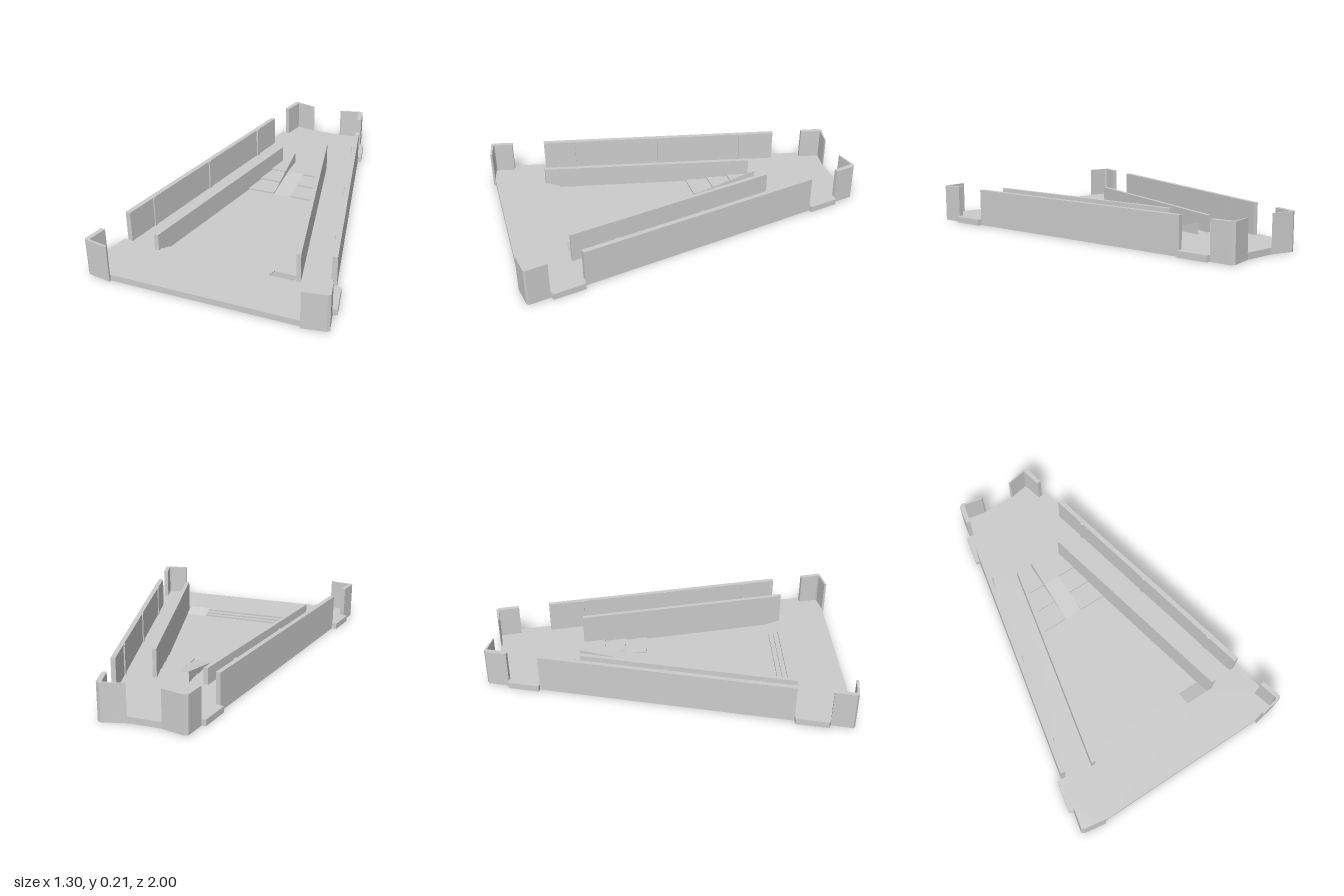
import * as THREE from 'three';

const material = new THREE.MeshStandardMaterial({ color: 0xcccccc, flatShading: true, side: THREE.DoubleSide });
const FLOOR = 0.035, PIT = 0.006, TOP = 0.21;

// Vertical prism over a plan outline of [x, z] points
function slab(name, plan, y0, y1, hole) {
  const toV = p => new THREE.Vector2(p[0], -p[1]);
  const shape = new THREE.Shape(plan.map(toV));
  if (hole) shape.holes.push(new THREE.Path(hole.map(toV)));
  const geo = new THREE.ExtrudeGeometry(shape, { depth: y1 - y0, bevelEnabled: false });
  geo.rotateX(-Math.PI / 2).translate(0, y0, 0);
  const mesh = new THREE.Mesh(geo, material);
  mesh.name = name;
  return mesh;
}

// Sloping quad between two heights
function ramp(name, x0, x1, zLow, zHigh, yLow, yHigh) {
  const geo = new THREE.BufferGeometry();
  geo.setAttribute('position', new THREE.Float32BufferAttribute(
    [x0, yLow, zLow, x1, yLow, zLow, x1, yHigh, zHigh, x0, yHigh, zHigh], 3));
  geo.setIndex(zLow > zHigh ? [0, 1, 2, 0, 2, 3] : [0, 2, 1, 0, 3, 2]);
  geo.computeVertexNormals();
  const mesh = new THREE.Mesh(geo, material);
  mesh.name = name;
  return mesh;
}

const flip = pts => pts.map(([x, z]) => [-x, z]);
const outerX = z => 0.295 + (z + 0.7) * 0.2125;   // outside of the boundary walls
const pitX = z => 0.132 + (z + 0.485) * 0.2125;   // inside of the inner walls

export function createModel() {
  const model = new THREE.Group();
  const add = (...a) => model.add(slab(...a));

  // Floor outline with notched corners
  const half = [
    [0.085, -0.967], [0.215, -1], [0.235, -0.99], [0.258, -0.875], [0.28, -0.875],
    [0.315, -0.705], [0.295, -0.7], [0.582, 0.668], [0.61, 0.668], [0.645, 0.84],
    [0.622, 0.852], [0.648, 0.965], [0.635, 0.977], [0.51, 0.997], [0.51, 0.985]];
  const outline = [...half, ...flip(half).reverse()];
  const zBack = -0.36, zFront = 0.7;
  const pit = [[pitX(zBack), zBack], [pitX(zFront), zFront], [-pitX(zFront), zFront], [-pitX(zBack), zBack]];
  add('floorBottom', outline, 0, PIT);
  add('floor', outline, PIT, FLOOR, pit);

  for (const s of [1, -1]) {
    const side = s > 0 ? 'left' : 'right';
    const place = pts => (s > 0 ? pts : flip(pts));

    // Long boundary walls with seam ribs on the inner face
    add(side + 'BoundaryWall', place([[outerX(-0.7), -0.7], [outerX(0.668), 0.668],
      [outerX(0.668) - 0.028, 0.672], [outerX(-0.7) - 0.025, -0.695]]), FLOOR, TOP);
    for (const z of [-0.5, -0.01, 0.48]) {
      const x = outerX(z) - 0.026;
      add(side + 'WallRib', place([[x + 0.004, z - 0.01], [x + 0.004, z + 0.01],
        [x - 0.006, z + 0.01], [x - 0.01, z - 0.01]]), FLOOR, TOP);
    }

    // Inner walls, one taller than the other
    add(side + 'InnerWall', place([[pitX(-0.485), -0.485], [pitX(-0.485) + 0.024, -0.485],
      [pitX(0.7) + 0.024, 0.7], [pitX(0.7), 0.7]]), PIT, s > 0 ? 0.2 : 0.13);

    // Angled corner screens
    add(side + 'BackCorner', place([[0.09, -0.968], [0.215, -1], [0.235, -0.99], [0.258, -0.875],
      [0.235, -0.87], [0.207, -0.985], [0.1, -0.965]]), FLOOR, TOP);
    add(side + 'FrontCorner', place([[0.51, 0.997], [0.635, 0.977], [0.648, 0.965], [0.622, 0.852],
      [0.597, 0.857], [0.622, 0.96], [0.612, 0.968], [0.51, 0.985]]), FLOOR, TOP);

    // Back steps on either side of the ramp
    [-0.115, -0.24].forEach((z, i) => add(side + 'BackStep', place([[0.052, z], [pitX(z), z],
      [pitX(zBack), zBack], [0.052, zBack]]), PIT, PIT + (i + 1) * 0.0097));
  }

  // Front steps and the ramp beside them
  [0.675, 0.648, 0.622].forEach((z, i) => add('frontStep', [[-pitX(z), z], [0.24, z],
    [0.24, zFront], [-pitX(zFront), zFront]], PIT, FLOOR - i * 0.0097));
  model.add(ramp('frontRamp', 0.24, 0.37, 0.62, 0.7, PIT, FLOOR));

  // Central ramp with a thin triangular side panel
  model.add(ramp('centralRamp', -0.052, 0.052, -0.115, zBack, PIT, FLOOR));
  const tri = new THREE.ShapeGeometry(new THREE.Shape([[0.115, PIT], [0.495, FLOOR], [0.495, 0.1]]
    .map(p => new THREE.Vector2(...p))));
  const panel = new THREE.Mesh(tri.rotateY(Math.PI / 2).translate(-0.053, 0, 0), material);
  panel.name = 'rampSidePanel';
  model.add(panel);

  return model;
}
